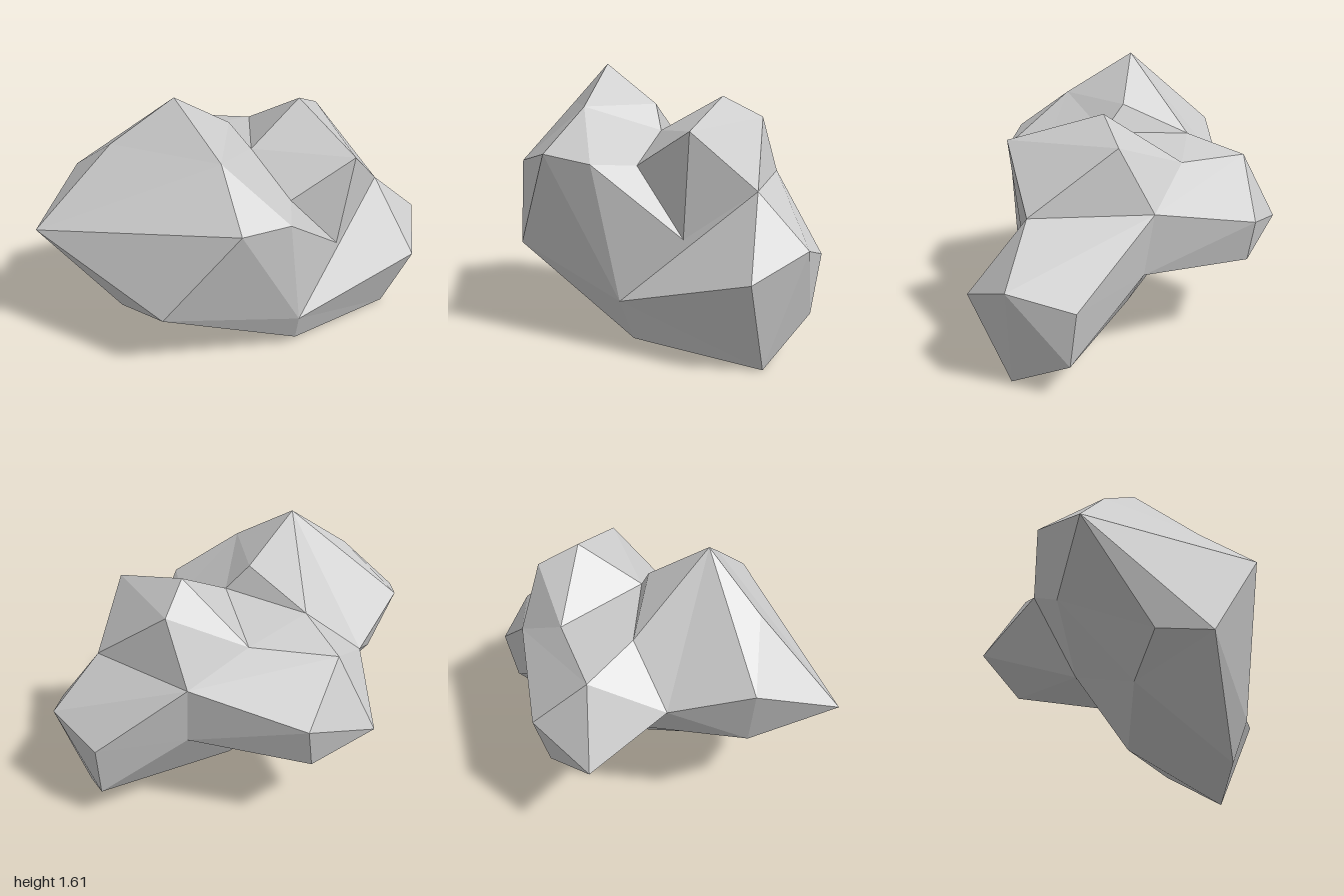
import * as THREE from 'three';

// Corner points of the boulder
const corners = {
  // tall front-left peak
  A: [-0.34, 1.61, 0.23], B: [-1.0, 0.93, 0.735], W: [-0.66, 1.36, 0.4], X: [0.0, 1.367, 0.43],
  V: [-0.12, 1.37, -0.03], Y: [-0.98, 1.1, 0.26], C: [-0.23, 0.52, 0.8], D: [0.205, 1.12, 0.695],
  // right shoulder and notch
  E: [0.4, 1.08, 0.46], F: [0.43, 0.31, 0.31], T: [0.32, 1.055, 0.185], U: [0.015, 1.22, -0.03],
  M: [0.56, 0.675, -0.02],
  // back-right peak
  L: [0.63, 1.27, -0.03], N: [0.21, 1.43, -0.35], O: [0.26, 1.31, -0.58], J: [0.7, 0.95, -0.39],
  I: [1.0, 0.53, -0.25], K: [0.93, 0.67, -0.59], P: [0.13, 0.97, -0.73], Q: [0.64, 0.57, -0.8],
  // back-left ridge
  p: [-0.775, 0.93, -0.135], q: [-0.86, 0.7, -0.58], r: [-0.64, 1.11, -0.52], s: [-0.455, 1.19, -0.22],
  t: [-0.17, 1.15, -0.55], R: [-0.51, 0.81, -0.8], f: [-0.535, 0.545, -0.727],
  // underside
  G: [0.39, 0.07, 0.22], H: [0.83, 0.0, -0.39], S: [0.65, 0.23, -0.74], a: [0.15, 0.6, -0.67],
  b: [-0.53, 0.48, 0.7], c: [-0.44, 0.32, 0.4], d: [-0.03, 0.185, -0.24], e: [-0.425, 0.55, -0.22],
  g: [-0.86, 0.7, 0.3],
};

// Facet fans: the first letter is the hub, the rest its rim, counter-clockwise from outside
const fans = [
  'AXVspYWX', 'BDXWYgbCD',               // front-left peak
  'FIJMEDCGHI', 'TLUXEML', 'XDE', 'XUV', 'VUs', // right shoulder and notch
  'tUNOPrsU', 'srp', 'qrRfepr', 'egp', 'pgY', // back-left ridge and its overhang
  'ULN', 'NLO', 'OLJ', 'LMJ', 'POJKQaRr', 'KJIHSQ', // back-right peak
  'aQSdefR', 'cGCbgedG', 'SHd', 'HGd',   // underside
];

function facetGeometry() {
  const positions = [];
  for (const [hub, ...rim] of fans) {
    for (let i = 0; i + 1 < rim.length; i++) {
      positions.push(...corners[hub], ...corners[rim[i]], ...corners[rim[i + 1]]);
    }
  }
  const geometry = new THREE.BufferGeometry();
  geometry.setAttribute('position', new THREE.Float32BufferAttribute(positions, 3));
  geometry.computeVertexNormals();
  return geometry;
}

export function createModel() {
  const group = new THREE.Group();
  group.name = 'boulder';
  const material = new THREE.MeshStandardMaterial({ color: 0xcccccc, flatShading: true });
  const rock = new THREE.Mesh(facetGeometry(), material);
  rock.name = 'rock';
  group.add(rock);
  return group;
}
